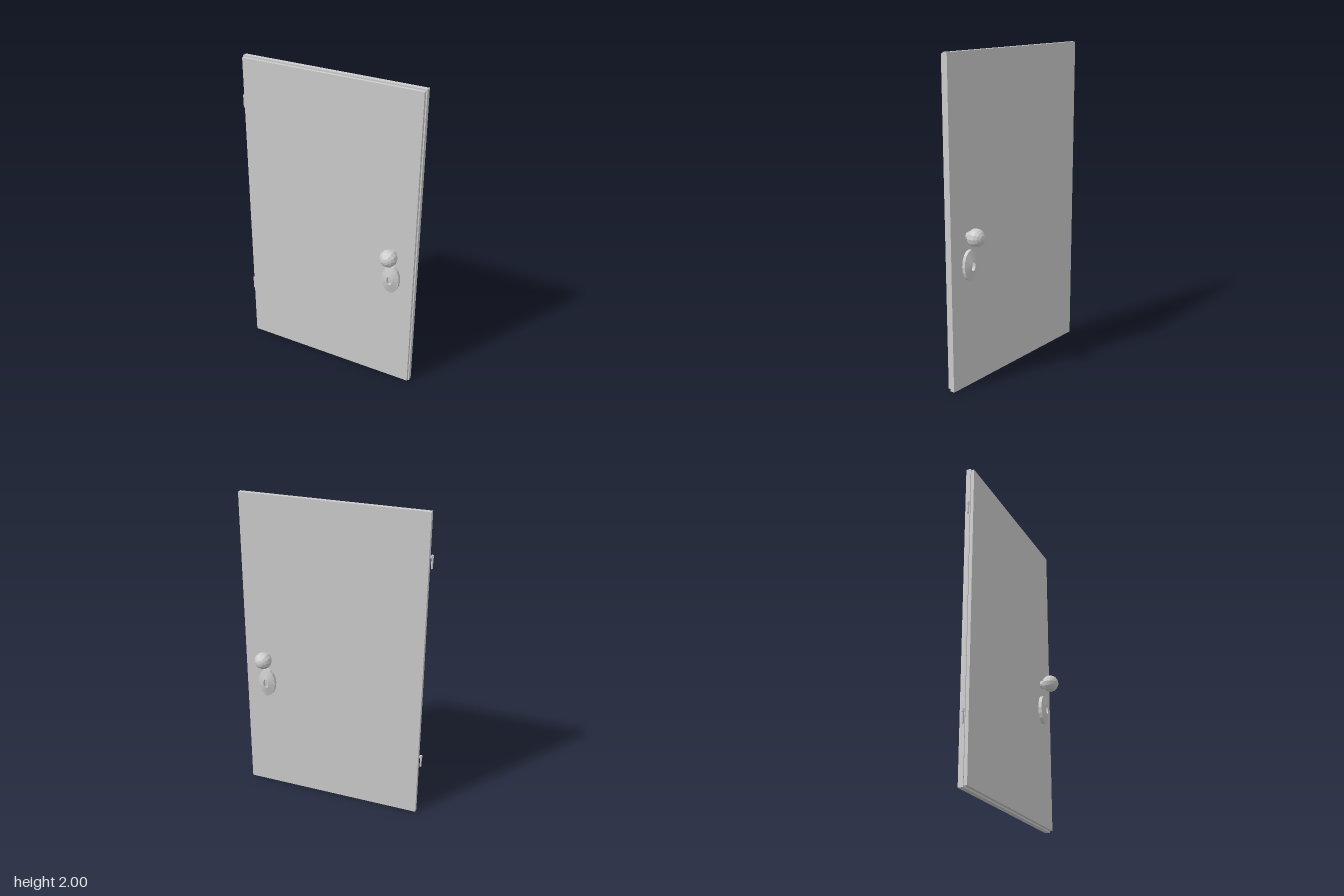
import * as THREE from 'three';

const grey = new THREE.MeshStandardMaterial({ color: 0xcccccc, flatShading: true, side: THREE.DoubleSide });

function add(parent, name, geometry, x = 0, y = 0, z = 0) {
  const mesh = new THREE.Mesh(geometry, grey);
  mesh.name = name;
  mesh.position.set(x, y, z);
  parent.add(mesh);
  return mesh;
}

// Box given by its limits on each axis
function slab(parent, name, x0, x1, y0, y1, z0, z1) {
  return add(parent, name, new THREE.BoxGeometry(x1 - x0, y1 - y0, z1 - z0),
    (x0 + x1) / 2, (y0 + y1) / 2, (z0 + z1) / 2);
}

// Lathe turned so that its axis points along +z; points are [radius, z]
function turned(points, segments) {
  return new THREE.LatheGeometry(points.map(([r, z]) => new THREE.Vector2(r, z)), segments)
    .rotateX(Math.PI / 2);
}

// Knob, neck and oval keyhole plate for one face of the door
function createHandle(name) {
  const handle = new THREE.Group();
  handle.name = name;
  const x = 0.445;
  add(handle, 'knobNeck', turned([[0.026, 0], [0.026, 0.06]], 12), x, 0.945);
  add(handle, 'knob', new THREE.SphereGeometry(0.055, 12, 8).rotateX(Math.PI / 2), x, 0.945, 0.087);

  // Conical plate with a recessed centre, squeezed into an oval
  const plate = turned([[0.095, 0], [0.095, 0.047], [0.03, 0.063], [0.03, 0.04], [0, 0.04]], 16);
  plate.scale(0.6, 1, 1);
  add(handle, 'keyholePlate', plate, x, 0.768);
  return handle;
}

// Hinge pin with a wider cap and a thin leaf reaching the door edge
function createHinge(name, y) {
  const hinge = new THREE.Group();
  hinge.name = name;
  hinge.position.set(-0.588, y, 0);
  add(hinge, 'hingePin', new THREE.CylinderGeometry(0.006, 0.006, 0.065, 8), 0, 0.0325);
  add(hinge, 'hingeCap', new THREE.CylinderGeometry(0.008, 0.008, 0.017, 8), 0, 0.0725);
  slab(hinge, 'hingeLeaf', 0, 0.016, 0.06, 0.078, -0.0015, 0.0015);
  return hinge;
}

export function createModel() {
  const door = new THREE.Group();
  door.name = 'door';

  // Door leaf: a full-size back layer and a slightly smaller front layer
  slab(door, 'backLayer', -0.576, 0.591, 0, 2, -0.026, 0.005);
  slab(door, 'frontLayer', -0.57, 0.584, 0.009, 1.991, 0.005, 0.025);

  // Matching handles on both faces
  door.add(createHandle('frontHandle'));
  const back = createHandle('backHandle');
  back.rotation.y = Math.PI;
  back.position.x = 0.89;
  door.add(back);

  door.add(createHinge('upperHinge', 1.668), createHinge('lowerHinge', 0.342));
  return door;
}
